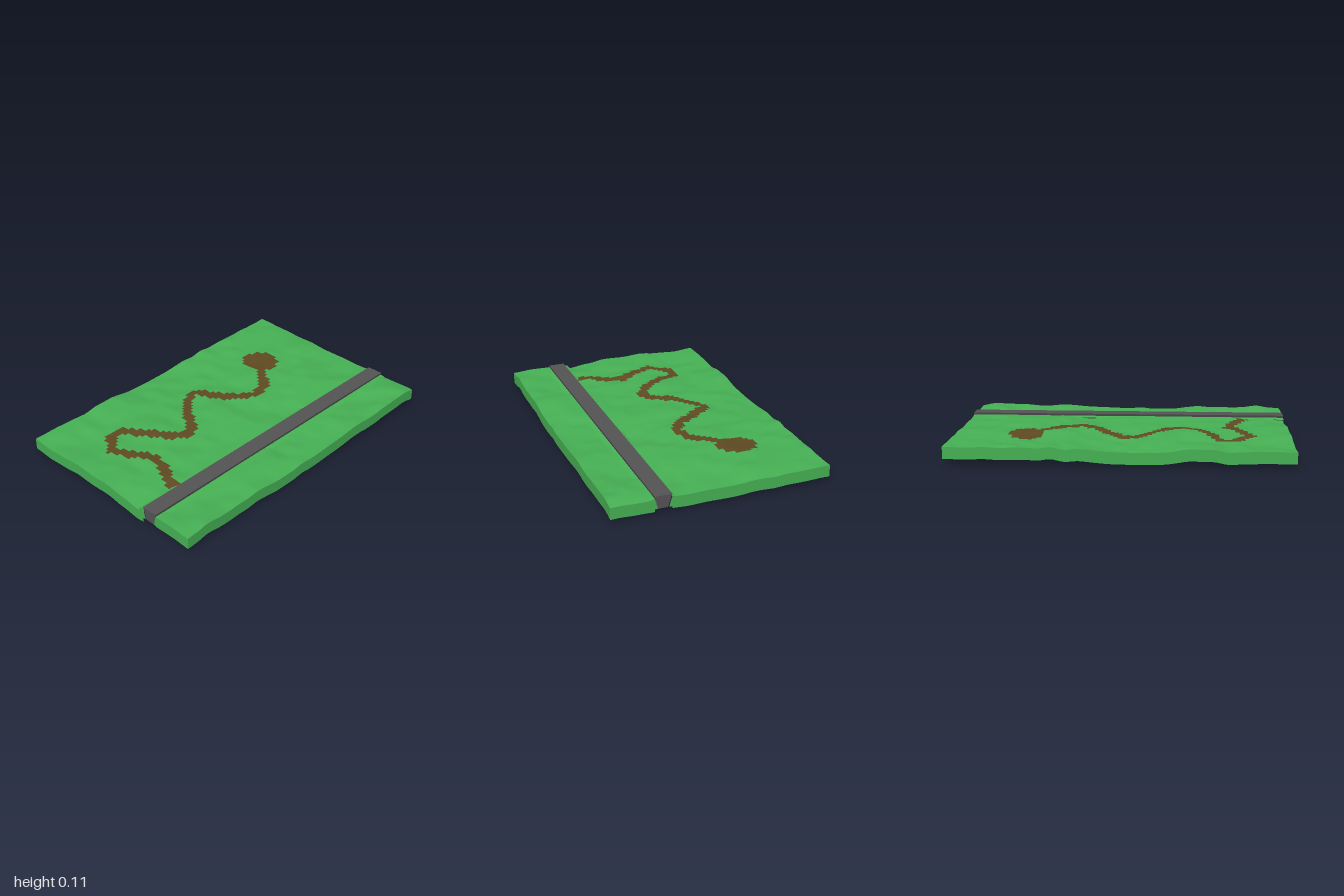
import * as THREE from 'three';

const W = 1.3, D = 2, NX = 52, NZ = 80, SKIRT = 0.07;
const material = (color) => new THREE.MeshStandardMaterial({ color, side: THREE.DoubleSide });
const green = material(0x46b054), brown = material(0x5f4a22), grey = material(0x555355);

// Smooth value noise from a seeded lattice hash
function hash(i, j) {
  const s = Math.sin(i * 127.1 + j * 311.7 + 5.3) * 43758.5453;
  return s - Math.floor(s);
}
function noise(x, z) {
  const i = Math.floor(x), j = Math.floor(z);
  const u = THREE.MathUtils.smoothstep(x - i, 0, 1), v = THREE.MathUtils.smoothstep(z - j, 0, 1);
  const a = THREE.MathUtils.lerp(hash(i, j), hash(i + 1, j), u);
  const b = THREE.MathUtils.lerp(hash(i, j + 1), hash(i + 1, j + 1), u);
  return THREE.MathUtils.lerp(a, b, v) * 2 - 1;
}

// Ground height: rolling noise, eased into a known profile along the front edge
const frontEdge = [0.095, 0.085, 0.092, 0.105, 0.098, 0.102, 0.085, 0.07, 0.103, 0.1, 0.092];
function height(x, z) {
  let y = 0.094 + 0.014 * noise(x * 4.5 + 20, z * 4.5 + 20) + 0.007 * noise(x * 10 + 50, z * 13 + 50);
  const t = THREE.MathUtils.clamp((x + W / 2) / W * 10, 0, 10), k = Math.min(9, Math.floor(t));
  const edge = THREE.MathUtils.lerp(frontEdge[k], frontEdge[k + 1], THREE.MathUtils.smoothstep(t - k, 0, 1));
  y = THREE.MathUtils.lerp(y, edge, THREE.MathUtils.smoothstep(z, 0.85, 1));
  const nearRoad = 1 - THREE.MathUtils.smoothstep(Math.abs(x - 0.35), 0.06, 0.18);
  y = THREE.MathUtils.lerp(y, Math.min(y, 0.098), nearRoad);
  return THREE.MathUtils.clamp(y, SKIRT, 0.121);
}

// Winding dirt track ending in a round clearing
const track = [
  [-0.27, -0.57], [-0.17, -0.47], [-0.06, -0.37], [-0.02, -0.26], [-0.1, -0.15], [-0.22, -0.07],
  [-0.33, 0], [-0.28, 0.1], [-0.17, 0.2], [-0.06, 0.27], [-0.03, 0.35], [-0.1, 0.44], [-0.22, 0.52],
  [-0.35, 0.58], [-0.35, 0.66], [-0.24, 0.76], [-0.12, 0.71], [0, 0.635], [0.12, 0.67], [0.22, 0.73], [0.32, 0.75],
].map(([x, z]) => new THREE.Vector3(x, 0, z));
function onTrack(x, z) {
  const p = new THREE.Vector3(x, 0, z), q = new THREE.Vector3(), line = new THREE.Line3();
  if (Math.hypot((x + 0.275) / 0.12, (z + 0.57) / 0.1) < 1) return true;
  return track.slice(1).some((b, i) =>
    line.set(track[i], b).closestPointToPoint(p, true, q).distanceTo(p) < 0.032);
}

// Sheet spanning two equal rows of points
function sheet(rowA, rowB) {
  const index = [];
  for (let i = 0; i < rowA.length - 1; i++) {
    const a = i, b = i + 1, c = i + rowA.length, d = c + 1;
    index.push(a, c, b, b, c, d);
  }
  const g = new THREE.BufferGeometry().setFromPoints([...rowA, ...rowB]);
  g.setIndex(index);
  g.computeVertexNormals();
  return g;
}

function add(parent, name, geometry, mat) {
  const mesh = new THREE.Mesh(geometry, mat);
  mesh.name = name;
  parent.add(mesh);
}

export function createModel() {
  const model = new THREE.Group();
  model.name = 'landscapeTile';

  // Ground grid, with cells sorted into grass and track; a slot is left for the road
  const base = new THREE.PlaneGeometry(W, D, NX, NZ).rotateX(-Math.PI / 2);
  const pos = base.attributes.position;
  for (let i = 0; i < pos.count; i++) pos.setY(i, height(pos.getX(i), pos.getZ(i)));
  base.computeVertexNormals();
  const grass = [], dirt = [];
  for (let j = 0; j < NZ; j++) {
    for (let i = 0; i < NX; i++) {
      const x = (i + 0.5) * W / NX - W / 2, z = (j + 0.5) * D / NZ - D / 2;
      if (x > 0.3 && x < 0.4) continue;
      const a = j * (NX + 1) + i, b = a + NX + 1;
      (onTrack(x, z) ? dirt : grass).push(a, b, a + 1, b, b + 1, a + 1);
    }
  }
  for (const [name, index, mat] of [['grass', grass, green], ['dirtTrack', dirt, brown]]) {
    const g = base.clone();
    g.setIndex(index);
    add(model, name, g, mat);
  }

  // Border skirt: wavy below as it follows the ground, open underneath
  const skirt = new THREE.Group();
  skirt.name = 'skirt';
  model.add(skirt);
  const wall = (name, x0, z0, x1, z1) => {
    const n = Math.round(Math.hypot(x1 - x0, z1 - z0) / 0.025), top = [], bottom = [];
    for (let i = 0; i <= n; i++) {
      const x = THREE.MathUtils.lerp(x0, x1, i / n), z = THREE.MathUtils.lerp(z0, z1, i / n), y = height(x, z);
      top.push(new THREE.Vector3(x, y, z));
      bottom.push(new THREE.Vector3(x, y - SKIRT, z));
    }
    add(skirt, name, sheet(top, bottom), green);
  };
  const w = W / 2, d = D / 2;
  wall('frontLeftSkirt', 0.4, d, w, d);
  wall('frontRightSkirt', -w, d, 0.3, d);
  wall('backLeftSkirt', w, -d, 0.4, -d);
  wall('backRightSkirt', 0.3, -d, -w, -d);
  wall('leftSkirt', w, d, w, -d);
  wall('rightSkirt', -w, -d, -w, d);

  // Road: a long bar with a tapered section
  const section = new THREE.Shape([[0.3, 0.11], [0.325, 0.035], [0.385, 0.035], [0.4, 0.11]]
    .map(([x, y]) => new THREE.Vector2(x, y)));
  const road = new THREE.ExtrudeGeometry(section, { depth: D, bevelEnabled: false }).translate(0, 0, -d);
  add(model, 'road', road, grey);

  // Grassy shoulders beside the road, with closed ends
  for (const s of [-1, 1]) {
    const pt = (o, y, z) => new THREE.Vector3(0.35 + s * o, y, z);
    const inner = [pt(0.05, 0.097, -d), pt(0.05, 0.097, d)], outer = [pt(0.08, 0.09, -d), pt(0.08, 0.09, d)];
    add(model, s > 0 ? 'leftShoulder' : 'rightShoulder', s > 0 ? sheet(outer, inner) : sheet(inner, outer), green);
    for (const z of [-d, d]) {
      const top = [pt(0.08, 0.09, z), pt(0.05, 0.097, z)], bottom = [pt(0.08, 0.03, z), pt(0.03, 0.035, z)];
      add(model, 'shoulderEnd', s * z < 0 ? sheet(top, bottom) : sheet(top.reverse(), bottom.reverse()), green);
    }
  }
  return model;
}
